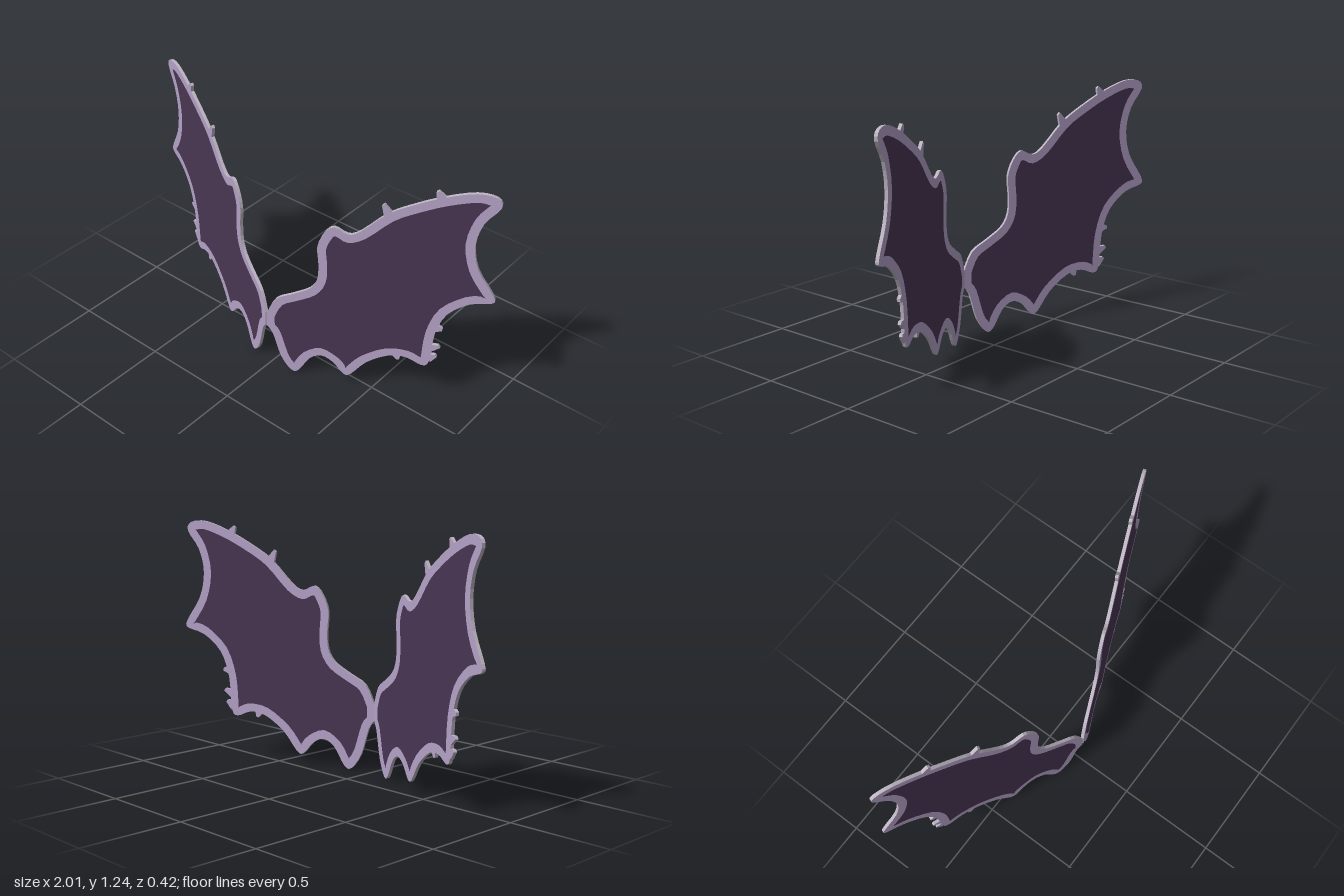
import * as THREE from 'three';

const THICK = 0.016, SWEEP = Math.atan(0.4), BORDER = 0.042;
const STRETCH = 1 / Math.cos(SWEEP); // the outline is given as projected on the front

// Outline of one wing: root, leading edge, tip, trailing scallops
const OUTLINE = [
  [0, 0.34], [0.045, 0.44], [0.12, 0.49], [0.2, 0.545], [0.235, 0.61], [0.24, 0.7], [0.234, 0.8], [0.262, 0.88],
  [0.305, 0.925], [0.365, 0.9], [0.42, 0.93], [0.53, 1.05], [0.64, 1.125], [0.76, 1.19], [0.88, 1.235],
  [0.96, 1.23], [0.98, 1.185], [0.92, 1.09], [0.895, 0.97], [0.92, 0.84], [0.993, 0.715], [0.99, 0.675],
  [0.9, 0.645], [0.81, 0.56], [0.765, 0.43], [0.752, 0.26], [0.72, 0.225], [0.65, 0.252], [0.57, 0.24],
  [0.47, 0.165], [0.4, 0.067], [0.365, 0.06], [0.315, 0.12], [0.26, 0.145], [0.205, 0.11], [0.155, 0.02],
  [0.118, 0.008], [0.068, 0.085], [0.03, 0.22], [0, 0.265],
];

// Small thorns on the rim: x, y, outward angle, length
const THORNS = [
  [0.525, 1.045, 1.9, 0.055], [0.735, 1.18, 1.9, 0.035],
  [0.752, 0.35, 0.2, 0.045], [0.755, 0.29, 0.3, 0.03], [0.775, 0.47, -0.3, 0.025], [0.61, 0.25, -1.5, 0.025],
];

// Moves every corner inwards, with a limited mitre at the sharp ones
function inset(points, d) {
  const n = points.length;
  return points.map((p, i) => {
    const a = p.clone().sub(points[(i + n - 1) % n]).normalize();
    const b = points[(i + 1) % n].clone().sub(p).normalize();
    const normal = new THREE.Vector2(a.y + b.y, -a.x - b.x).normalize();
    const mitre = 1 / Math.max(0.85, normal.x * a.y - normal.y * a.x);
    return p.clone().addScaledVector(normal, d * mitre);
  });
}

// Rounds a coarse outline
const smooth = (points) => new THREE.SplineCurve(points).getPoints((points.length - 1) * 3);

function plate(shape, name, materials) {
  const geometry = new THREE.ExtrudeGeometry(shape, { depth: THICK, bevelEnabled: false });
  geometry.translate(0, 0, -THICK / 2);
  const mesh = new THREE.Mesh(geometry, materials);
  mesh.name = name;
  return mesh;
}

function makeWing(side, mats) {
  const wing = new THREE.Group();
  wing.name = side > 0 ? 'leftWing' : 'rightWing';
  const coarse = OUTLINE.map(([x, y]) => new THREE.Vector2(x * STRETCH, y));
  const flip = (pts) => pts.map((p) => new THREE.Vector2(p.x * side, p.y));
  const outer = flip(smooth(coarse));
  const inner = flip(smooth(inset(coarse, BORDER)));

  // Pale frame around the membrane
  const frame = new THREE.Shape(outer);
  frame.holes.push(new THREE.Path(inner));
  wing.add(plate(frame, 'wingFrame', [mats.frame, mats.edge]));

  // Dark skin filling the frame, flush on both sides
  wing.add(plate(new THREE.Shape(inner), 'wingMembrane', mats.membrane));

  // Thorns along the rim
  for (const [x, y, angle, length] of THORNS) {
    const base = new THREE.Vector2(x * STRETCH, y);
    const out = new THREE.Vector2(Math.cos(angle), Math.sin(angle));
    const along = new THREE.Vector2(-out.y, out.x);
    const at = (o, s) => base.clone().addScaledVector(out, o).addScaledVector(along, s);
    const thorn = [at(-0.01, -0.035), at(length, -0.006), at(length * 0.85, 0.008), at(-0.01, 0.015)];
    wing.add(plate(new THREE.Shape(flip(thorn)), 'thorn', [mats.frame, mats.edge]));
  }

  wing.rotation.y = SWEEP * side;
  wing.position.z = 0.2;
  return wing;
}

export function createModel() {
  const material = (name, color) => {
    const m = new THREE.MeshStandardMaterial({ color });
    m.name = name;
    return m;
  };
  const mats = {
    frame: material('palePurple', 0xb5a2c8),
    edge: material('greyPurple', 0xbdb5c2),
    membrane: material('darkPurple', 0x483552),
  };
  const model = new THREE.Group();
  model.name = 'batWings';
  model.add(makeWing(1, mats), makeWing(-1, mats));
  return model;
}
